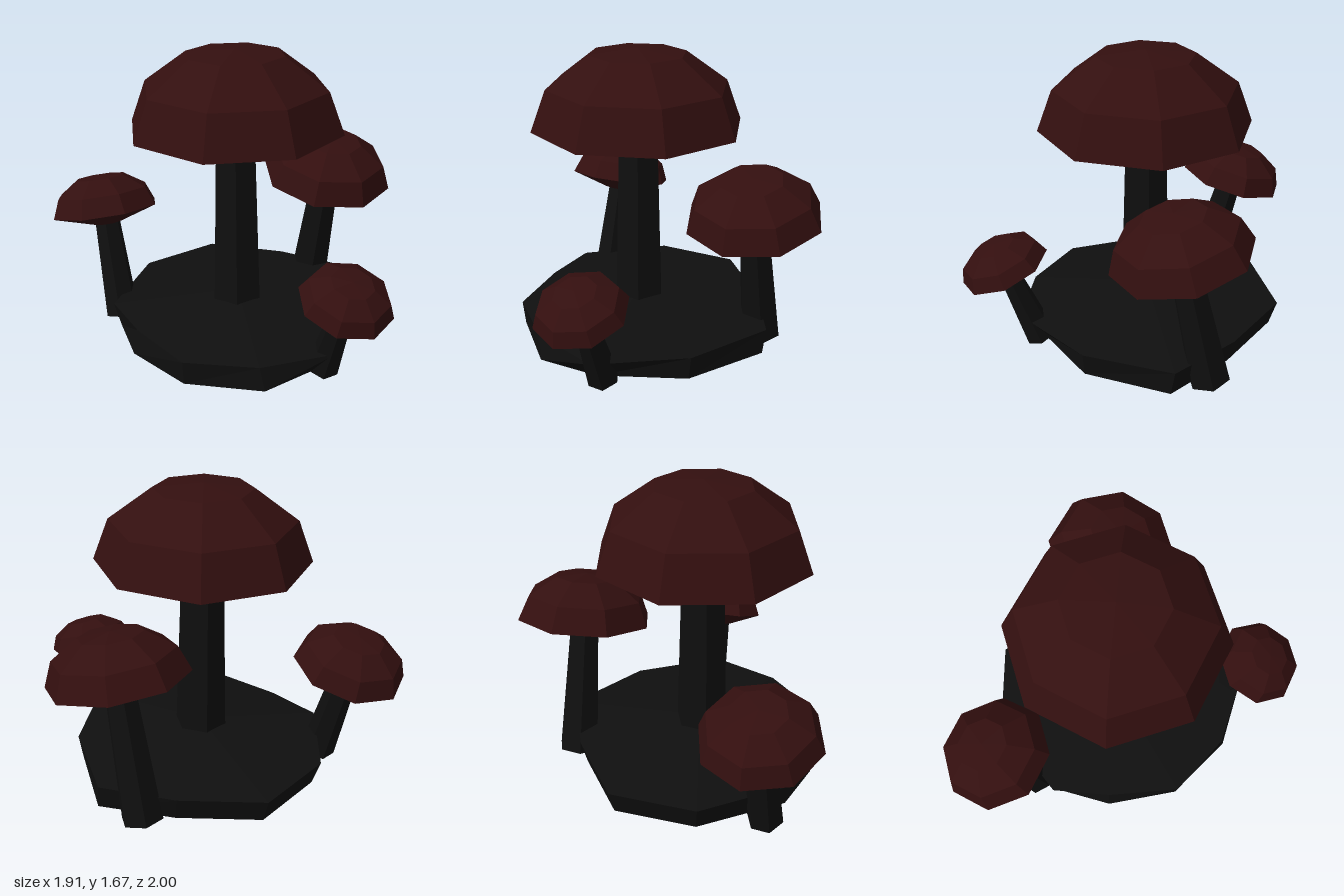
import * as THREE from 'three';

const mat = (name, color, extra = {}) => {
  const m = new THREE.MeshStandardMaterial({ color, flatShading: true, ...extra });
  m.name = name;
  return m;
};

// Mushroom in local space: the cap rim lies at y = 0, the stem hangs below
function makeMushroom(name, o, capMat, stemMat) {
  const g = new THREE.Group();
  g.name = name;
  const r = o.rim, h = o.height;
  const profile = [
    [0, -o.under], [o.stemTop * 1.12, -o.under], [r, 0],
    [r * 0.855, h * 0.53], [r * 0.455, h * 0.935], [0, h],
  ].map(([x, y]) => new THREE.Vector2(x, y));
  const cap = new THREE.Mesh(new THREE.LatheGeometry(profile, 8), capMat);
  cap.name = 'cap';

  const len = o.length - o.under;
  const stem = new THREE.Mesh(
    new THREE.CylinderGeometry(o.stemTop, o.stemBase, len, 6, 1, false, Math.PI / 2), stemMat);
  stem.position.y = -o.under - len / 2;
  stem.name = 'stem';

  g.add(cap, stem);
  g.position.set(...o.at);
  g.rotation.x = o.tilt;
  return g;
}

// Irregular slab: matching bottom and top outlines, with a raised middle
function makeGround(material) {
  const top = [[-0.67, 0.35], [-0.35, 0.6], [0.06, 0.7], [0.48, 0.37], [0.7, -0.1],
    [0.47, -0.47], [0.13, -0.81], [-0.35, -0.77], [-0.74, -0.4], [-0.74, -0.06]];
  const bottom = [[-0.66, 0.34], [-0.33, 0.62], [0.02, 0.59], [0.46, 0.36], [0.69, -0.08],
    [0.45, -0.44], [0.12, -0.77], [-0.33, -0.73], [-0.71, -0.38], [-0.77, -0.06]];
  const n = top.length, pos = [], idx = [];
  bottom.forEach(([x, z]) => pos.push(x, 0.035, z));
  top.forEach(([x, z]) => pos.push(x, 0.175, z));
  pos.push(-0.05, 0.035, -0.05, -0.1, 0.255, -0.06);
  for (let i = 0; i < n; i++) {
    const j = (i + 1) % n;
    idx.push(i, j, n + j, i, n + j, n + i);   // side
    idx.push(n + i, n + j, 2 * n + 1);        // top
    idx.push(j, i, 2 * n);                    // underside
  }
  const geo = new THREE.BufferGeometry();
  geo.setAttribute('position', new THREE.Float32BufferAttribute(pos, 3));
  geo.setIndex(idx);
  geo.computeVertexNormals();
  const mesh = new THREE.Mesh(geo, material);
  mesh.name = 'ground';
  return mesh;
}

export function createModel() {
  const capMat = mat('dark red cap', 0x330f0f);
  const darkMat = mat('near black', 0x0f0f0f);
  const model = new THREE.Group();
  model.name = 'mushroomCluster';
  model.add(makeGround(darkMat));

  const mushrooms = {
    tallMushroom: { at: [-0.107, 1.25, -0.055], tilt: 0, rim: 0.595, height: 0.43,
      under: 0.09, stemTop: 0.122, stemBase: 0.156, length: 1.21 },
    leftMushroom: { at: [0.572, 0.81, -0.145], tilt: 0.211, rim: 0.383, height: 0.256,
      under: 0.07, stemTop: 0.088, stemBase: 0.12, length: 0.8 },
    backMushroom: { at: [-0.642, 0.652, -0.69], tilt: -0.262, rim: 0.318, height: 0.208,
      under: 0.08, stemTop: 0.076, stemBase: 0.1, length: 0.645 },
    frontMushroom: { at: [0.062, 0.517, 0.762], tilt: 0.353, rim: 0.253, height: 0.152,
      under: 0.085, stemTop: 0.062, stemBase: 0.09, length: 0.515 },
  };
  for (const [name, o] of Object.entries(mushrooms)) {
    model.add(makeMushroom(name, o, capMat, darkMat));
  }
  return model;
}
